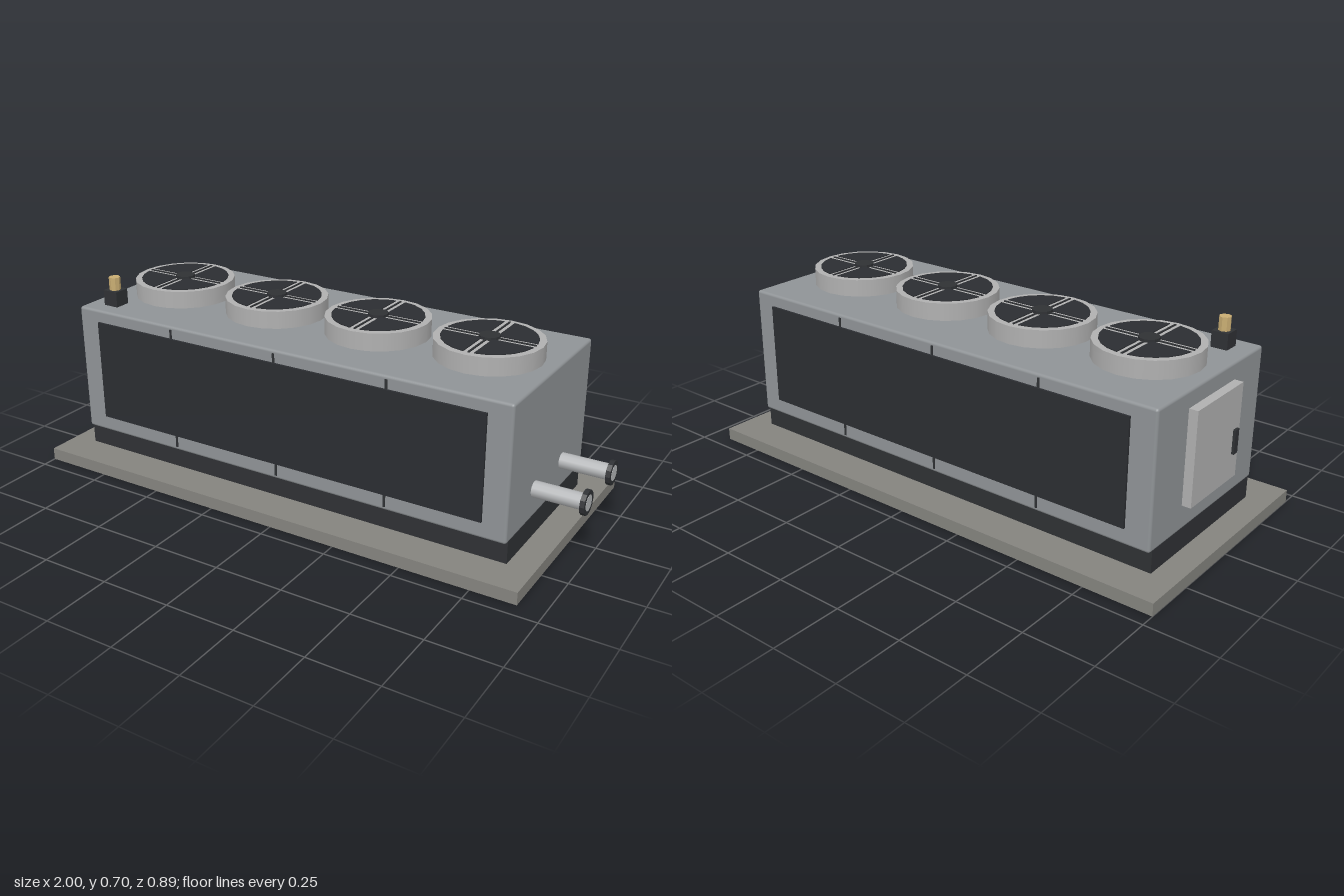
import * as THREE from 'three';
import { RoundedBoxGeometry } from 'three/addons/geometries/RoundedBoxGeometry.js';

export function createModel() {
  const model = new THREE.Group();
  const mat = (color, flatShading = false) => new THREE.MeshStandardMaterial({ color, flatShading });
  const concrete = mat(0x84837e), steel = mat(0x8f9396), dark = mat(0x2f3134, true);
  const coil = mat(0x2b2d31), light = mat(0xb0b0b0), brass = mat(0xc8ac72, true), pipe = mat(0xb4b6b8);

  const add = (name, geometry, material, x, y, z, parent = model) => {
    const mesh = new THREE.Mesh(geometry, material);
    mesh.name = name;
    mesh.position.set(x, y, z);
    parent.add(mesh);
    return mesh;
  };
  // Box given by its extents on each axis
  const box = (name, material, [x0, x1], [y0, y1], [z0, z1], parent) =>
    add(name, new THREE.BoxGeometry(x1 - x0, y1 - y0, z1 - z0), material,
      (x0 + x1) / 2, (y0 + y1) / 2, (z0 + z1) / 2, parent);
  const upright = (name, material, r, sides, y0, y1, x, z, parent) =>
    add(name, new THREE.CylinderGeometry(r, r, y1 - y0, sides), material, x, (y0 + y1) / 2, z, parent);

  // Slab, plinth and cabinet
  box('slab', concrete, [-1, 0.91], [0, 0.045], [-0.447, 0.447]);
  box('plinth', dark, [-0.91, 0.815], [0.045, 0.125], [-0.313, 0.313]);
  add('cabinet', new RoundedBoxGeometry(1.725, 0.48, 0.66, 2, 0.01), steel, -0.0475, 0.36, 0);

  // Coil panels and panel seams on both long sides
  for (const s of [-1, 1]) {
    const side = s > 0 ? 'front' : 'back';
    add(side + 'Coil', new THREE.BoxGeometry(1.55, 0.375, 0.02), coil, -0.045, 0.3675, s * 0.328);
    for (const x of [-0.485, -0.05, 0.38])
      add(side + 'Seam', new THREE.BoxGeometry(0.008, 0.455, 0.008), dark, x, 0.361, s * 0.329);
  }

  // Dark quarter opening of a fan, leaving a cross-shaped gap between quarters
  const quarter = new THREE.Shape();
  const gap = 0.019, R = 0.162, a0 = Math.asin(gap / R);
  quarter.moveTo(gap, gap);
  for (let i = 0; i <= 5; i++) {
    const a = a0 + (Math.PI / 2 - 2 * a0) * i / 5;
    quarter.lineTo(R * Math.cos(a), R * Math.sin(a));
  }
  const quarterGeo = new THREE.ExtrudeGeometry(quarter, { depth: 0.006, bevelEnabled: false }).rotateX(-Math.PI / 2);

  // Four roof fans
  for (const x of [-0.675, -0.257, 0.163, 0.58]) {
    const fan = new THREE.Group();
    fan.name = 'fan';
    fan.position.set(x, 0, 0);
    model.add(fan);
    upright('fanHousing', light, 0.186, 20, 0.595, 0.663, 0, 0, fan);
    for (let i = 0; i < 4; i++)
      add('fanOpening', quarterGeo, coil, 0, 0.66, 0, fan).rotation.y = i * Math.PI / 2;
    box('guardBar', dark, [-0.163, 0.163], [0.66, 0.667], [-0.003, 0.003], fan);
    box('guardBar', dark, [-0.003, 0.003], [0.66, 0.667], [-0.163, 0.163], fan);
    upright('fanHub', dark, 0.036, 12, 0.655, 0.673, 0, 0, fan);
  }

  // Relief valve on the roof
  box('valveBase', dark, [-0.842, -0.782], [0.595, 0.657], [0.21, 0.27]);
  upright('valveStem', brass, 0.021, 8, 0.65, 0.705, -0.812, 0.24);

  // Water connections with flanges on the +x end
  for (const z of [-0.12, 0.12]) {
    add('waterPipe', new THREE.CylinderGeometry(0.028, 0.028, 0.2, 12).rotateZ(-Math.PI / 2), pipe, 0.9, 0.226, z);
    add('pipeFlange', new THREE.CylinderGeometry(0.043, 0.043, 0.016, 12).rotateZ(-Math.PI / 2), dark, 0.991, 0.226, z);
  }

  // Control box with handle on the -x end
  box('controlBox', light, [-0.942, -0.905], [0.21, 0.54], [-0.147, 0.142]);
  box('controlHandle', dark, [-0.951, -0.94], [0.302, 0.388], [0.1, 0.124]);

  return model;
}
